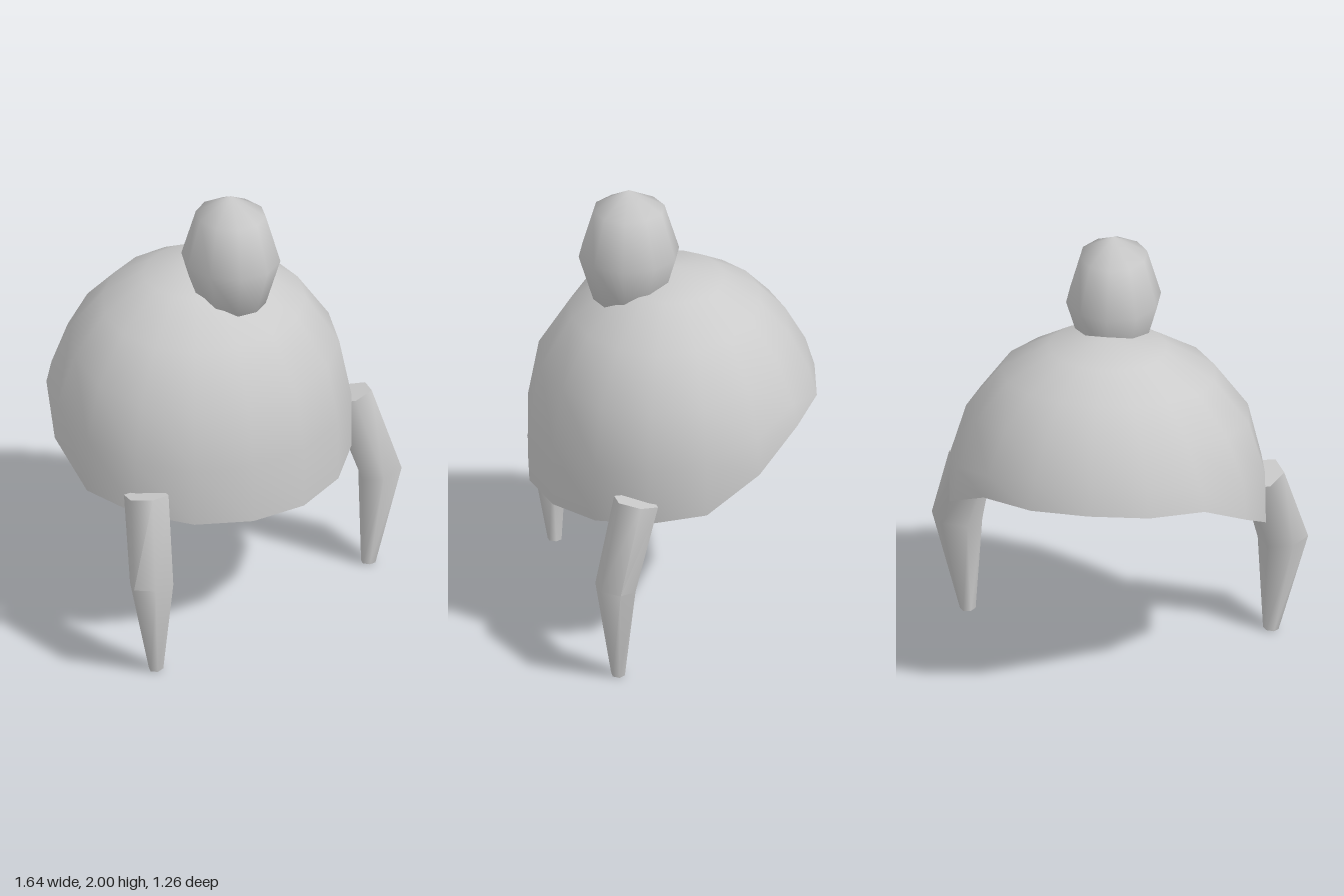
import * as THREE from 'three';
import { mergeVertices, toCreasedNormals } from 'three/addons/utils/BufferGeometryUtils.js';

const grey = new THREE.MeshStandardMaterial({ color: 0xcccccc });
const greyBothSides = new THREE.MeshStandardMaterial({ color: 0xcccccc, side: THREE.DoubleSide });

function part(name, geometry, material = grey) {
  const mesh = new THREE.Mesh(geometry, material);
  mesh.name = name;
  return mesh;
}

// Weld seams so that normals run smoothly all the way round
function weld(geometry) {
  geometry.deleteAttribute('uv');
  geometry.deleteAttribute('normal');
  const welded = mergeVertices(geometry);
  welded.computeVertexNormals();
  return welded;
}

// Open half-ellipsoid whose rim hangs low at the front and sweeps up at the back
function domeGeometry() {
  const columns = 16, rows = 5;
  const rx = 0.69, ry = 0.69, rz = 0.637, equator = 0.92;
  // rim height per column, from the front round to the back
  const rim = [0.64, 0.65, 0.668, 0.703, 0.745, 0.89, 1.03, 1.055, 1.07];
  // polar angles of the rows, in degrees
  const frontRows = [0, 22.5, 45, 67.5, 90];
  const backRows = [0, 20, 36, 50.5, 66];

  const geometry = new THREE.SphereGeometry(1, columns, rows, 0, Math.PI * 2, 0, Math.PI / 2);
  const pos = geometry.attributes.position;
  for (let i = 0; i < pos.count; i++) {
    const column = i % (columns + 1), row = Math.floor(i / (columns + 1));
    const phi = (column % columns) / columns * Math.PI * 2;
    const fromFront = (column + columns - 4) % columns;
    let y, r;
    if (row === rows) {
      y = rim[Math.min(fromFront, columns - fromFront)];
      r = Math.sqrt(1 - Math.max(0, (y - equator) / ry) ** 2);
    } else {
      const back = ((1 - Math.sin(phi)) / 2) ** 2;
      const angle = THREE.MathUtils.degToRad(THREE.MathUtils.lerp(frontRows[row], backRows[row], back));
      y = equator + ry * Math.cos(angle);
      r = Math.sin(angle);
    }
    pos.setXYZ(i, -Math.cos(phi) * r * rx, y, Math.sin(phi) * r * rz);
  }
  return weld(geometry);
}

// Six-sided leg with a bent knee: hip, knee and foot sections
const legSections = [
  { x: 0.632, y: 0.815, z: 0.3, rx: 0.098, rz: 0.1, tiltX: 0.13, tiltZ: 0.22 },
  { x: 0.71, y: 0.45, z: 0.408, rx: 0.11, rz: 0.089, tiltX: 0.09, tiltZ: 0.1 },
  { x: 0.66, y: 0.004, z: 0.386, rx: 0.034, rz: 0.031, tiltX: -0.1, tiltZ: 0 },
];

function legGeometry(side) {
  const geometry = new THREE.CylinderGeometry(1, 1, 2, 6, 2, false, Math.PI / 2);
  const pos = geometry.attributes.position;
  for (let i = 0; i < pos.count; i++) {
    const s = legSections[Math.round(1 - pos.getY(i))];
    const dx = pos.getX(i) * s.rx, dz = pos.getZ(i) * s.rz;
    const y = s.y + dx * side * s.tiltX + dz * s.tiltZ;
    pos.setXYZ(i, s.x * side + dx, Math.max(0, y), s.z + dz);
  }
  // smooth sides, sharp end caps
  return toCreasedNormals(weld(geometry), 1.25);
}

export function createModel() {
  const model = new THREE.Group();
  model.name = 'domeOnLegs';

  model.add(part('dome', domeGeometry(), greyBothSides));

  // Egg-shaped knob, sunk into the front of the dome top
  const knobGeometry = weld(new THREE.SphereGeometry(1, 10, 4, Math.PI / 2));
  knobGeometry.scale(0.208, 0.3, 0.222);
  const knob = part('knob', knobGeometry);
  knob.position.set(0, 1.7, 0.198);
  model.add(knob);

  for (const side of [-1, 1]) {
    model.add(part(side > 0 ? 'leftLeg' : 'rightLeg', legGeometry(side)));
  }
  return model;
}
